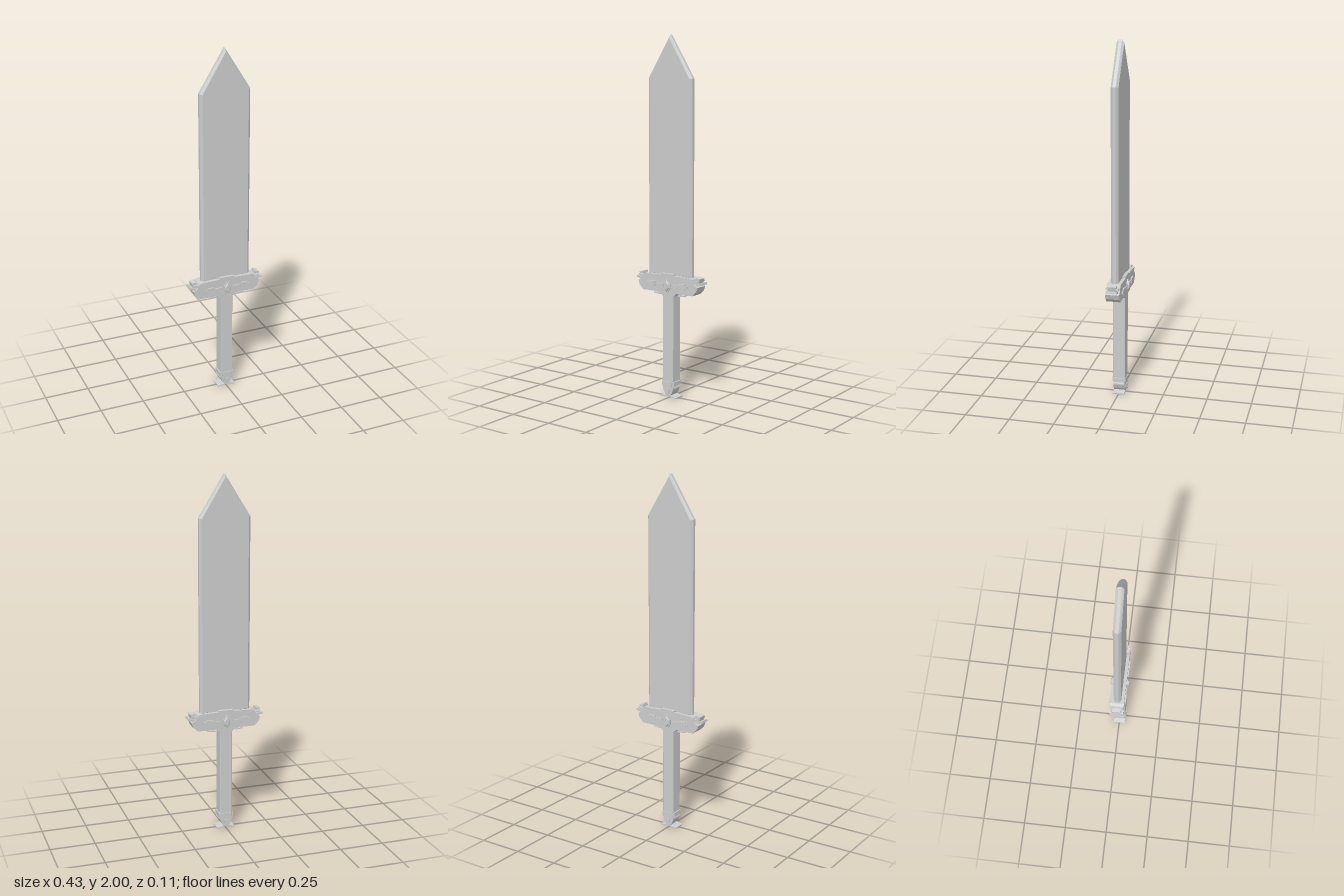
import * as THREE from 'three';

const steel = new THREE.MeshStandardMaterial({ color: 0xcccccc });
steel.name = 'plain grey steel';

// Closed outline extruded along z, centred on z = 0
function slab(name, points, depth, bevel = 0) {
  const shape = new THREE.Shape(points.map(([x, y]) => new THREE.Vector2(x, y)));
  const geo = new THREE.ExtrudeGeometry(shape, {
    depth: depth - 2 * bevel, bevelEnabled: bevel > 0, bevelSegments: 1,
    bevelSize: bevel, bevelThickness: bevel, bevelOffset: -bevel,
  });
  geo.translate(0, 0, -(depth - 2 * bevel) / 2);
  const mesh = new THREE.Mesh(geo, steel);
  mesh.name = name;
  return mesh;
}

// Outline given for the +x half, bottom to top, then mirrored
const mirrored = (half) => half.concat(
  half.filter(([x]) => x !== 0).reverse().map(([x, y]) => [-x, y]));

function box(name, w, h, d, x, y, z = 0, tilt = 0) {
  const mesh = new THREE.Mesh(new THREE.BoxGeometry(w, h, d), steel);
  mesh.name = name;
  mesh.position.set(x, y, z);
  mesh.rotation.z = tilt;
  return mesh;
}

export function createModel() {
  const sword = new THREE.Group();
  sword.name = 'sword';

  // Broad blade with bevelled edges
  sword.add(slab('blade', mirrored([[0.144, 0.685], [0.144, 1.77], [0, 2]]), 0.042, 0.0125));

  // Crossguard body, end blocks and raised centre
  const guard = new THREE.Group();
  guard.name = 'crossguard';
  guard.add(slab('guardBody', mirrored([
    [0.165, 0.6], [0.19, 0.625], [0.196, 0.65], [0.175, 0.665], [0.165, 0.69], [0.15, 0.695],
    [0.045, 0.698], [0.03, 0.704],
  ]), 0.078));
  guard.add(box('guardCollar', 0.086, 0.012, 0.078, 0, 0.7));

  for (const s of [-1, 1]) {
    // Stacked fins at each end
    guard.add(box('endFin', 0.045, 0.012, 0.06, s * 0.194, 0.664, 0, s * 0.2));
    guard.add(box('endFin', 0.04, 0.01, 0.07, s * 0.178, 0.678, 0, s * 0.2));
    guard.add(box('endHorn', 0.024, 0.03, 0.046, s * 0.188, 0.683, 0, -s * 0.2));
    guard.add(box('endRib', 0.014, 0.03, 0.074, s * 0.188, 0.638, 0, -s * 0.35));

    // Thin strips under the guard
    guard.add(box('underStrip', 0.045, 0.006, 0.05, s * 0.08, 0.587, 0, s * 0.08));
    guard.add(box('underStripPost', 0.012, 0.018, 0.04, s * 0.07, 0.595));
    guard.add(slab('gripShoulder', s > 0
      ? [[0.03, 0.575], [0.06, 0.602], [0.03, 0.602]]
      : [[-0.03, 0.575], [-0.03, 0.602], [-0.06, 0.602]], 0.07));

    // Ornament strips on the front and back faces
    for (const f of [-1, 1]) {
      guard.add(box('ornamentBar', 0.1, 0.012, 0.009, s * 0.083, 0.643, f * 0.0405));
      guard.add(box('ornamentCross', 0.04, 0.03, 0.008, s * 0.1, 0.643, f * 0.043));
    }
  }

  // Pointed centre gem passing through the guard
  guard.add(slab('gemSetting', mirrored([[0.006, 0.602], [0.022, 0.628], [0.022, 0.652], [0.006, 0.678]]), 0.092));
  guard.add(slab('gem', mirrored([[0.003, 0.61], [0.017, 0.63], [0.017, 0.65], [0.003, 0.67]]), 0.108, 0.005));
  sword.add(guard);

  // Square grip
  sword.add(slab('grip', mirrored([[0.035, 0.07], [0.035, 0.605]]), 0.07, 0.003));

  // Tapered pommel with side lugs and flared feet
  const pommel = new THREE.Group();
  pommel.name = 'pommel';
  pommel.add(slab('pommelTaper', mirrored([
    [0.012, 0.012], [0.025, 0.03], [0.033, 0.05], [0.035, 0.08],
  ]), 0.066));
  pommel.add(box('pommelBand', 0.05, 0.024, 0.078, 0, 0.083));
  pommel.add(box('pommelStud', 0.018, 0.024, 0.078, 0, 0.04));
  for (const s of [-1, 1]) {
    pommel.add(box('pommelLug', 0.01, 0.024, 0.066, s * 0.036, 0.083));
    pommel.add(box('pommelRib', 0.012, 0.01, 0.06, s * 0.034, 0.064, 0, s * 0.4));
    pommel.add(box('pommelFoot', 0.042, 0.006, 0.066, s * 0.031, 0.009, 0, -s * 0.22));
  }
  sword.add(pommel);

  return sword;
}
